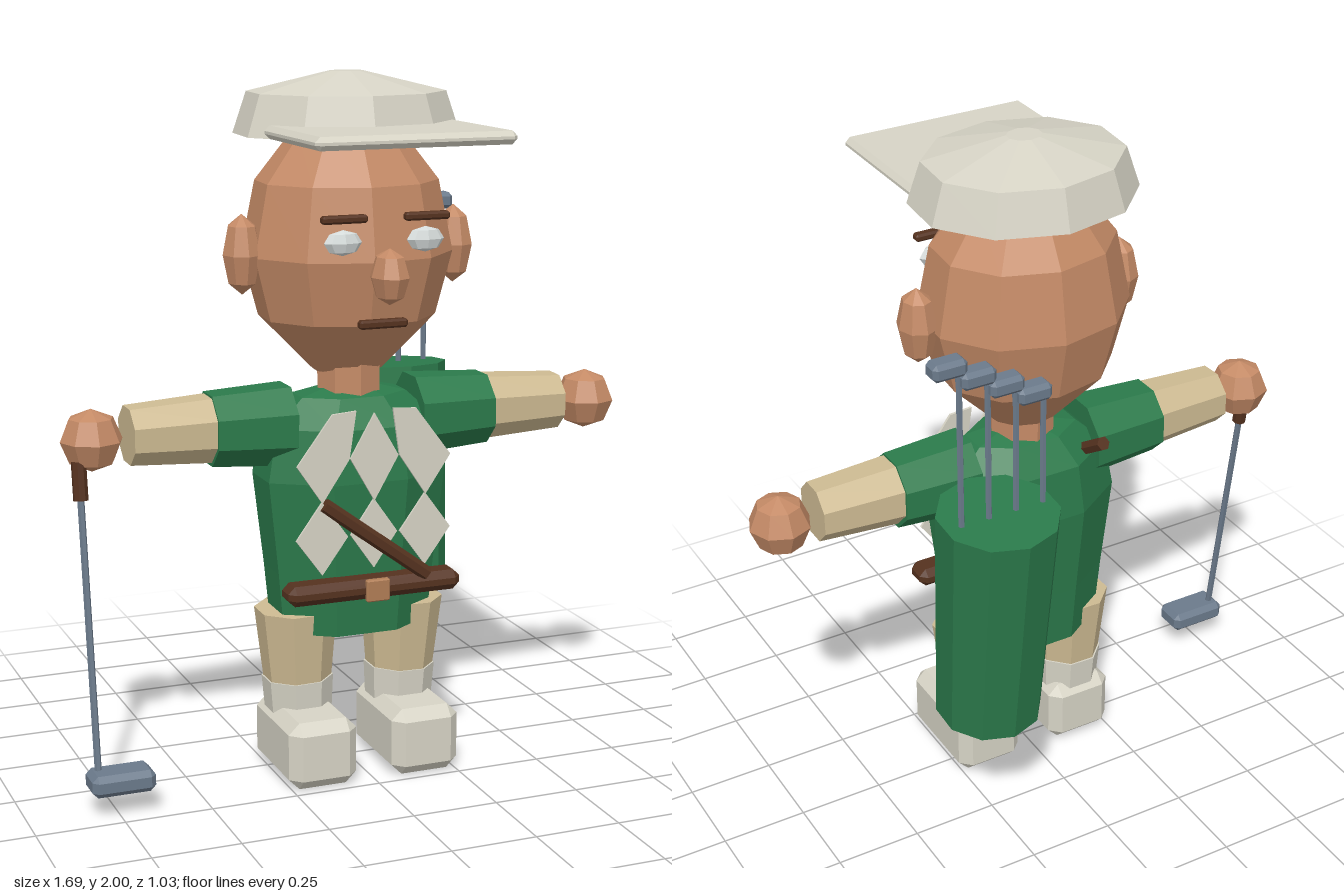
import * as THREE from 'three';
import { ConvexGeometry } from 'three/addons/geometries/ConvexGeometry.js';

const mat = (name, color) => {
  const m = new THREE.MeshStandardMaterial({ color, flatShading: true });
  m.name = name;
  return m;
};

export function createModel() {
  const skin = mat('skin', 0xc48a66);
  const cream = mat('cream', 0xd6d3c5);
  const green = mat('green', 0x2b7a4b);
  const khaki = mat('khaki', 0xcdba92);
  const brown = mat('brown', 0x55321f);
  const steel = mat('steel', 0x6b7a8b);
  const white = mat('eye white', 0xd4dad9);
  const buckleTan = mat('buckle tan', 0xb07d55);

  const model = new THREE.Group();
  model.name = 'golfer';
  const V = (x, y, z) => new THREE.Vector3(x, y, z);

  const add = (name, geometry, material, x = 0, y = 0, z = 0, parent = model) => {
    const mesh = new THREE.Mesh(geometry, material);
    mesh.name = name;
    mesh.position.set(x, y, z);
    parent.add(mesh);
    return mesh;
  };

  // Box with cut edges
  const chamferBox = (w, h, d, b) => {
    const pts = [];
    for (const sx of [-1, 1]) for (const sy of [-1, 1]) for (const sz of [-1, 1]) {
      const x = w / 2, y = h / 2, z = d / 2;
      pts.push(V(sx * x, sy * (y - b), sz * (z - b)));
      pts.push(V(sx * (x - b), sy * y, sz * (z - b)));
      pts.push(V(sx * (x - b), sy * (y - b), sz * z));
    }
    return new ConvexGeometry(pts);
  };

  // Faceted turned shape, squashed front to back; profile runs bottom to top
  const turned = (profile, sides, turn, scaleX, scaleZ) =>
    new THREE.LatheGeometry(profile.map(([r, y]) => new THREE.Vector2(r, y)), sides)
      .rotateY(turn).scale(scaleX, 1, scaleZ);

  // Faceted ellipsoid
  const blob = (rx, ry, rz, sides = 8, rows = 4) =>
    new THREE.SphereGeometry(1, sides, rows).scale(rx, ry, rz);

  // Tapered bar between two points
  const bar = (name, a, b, ra, rb, sides, material, parent = model) => {
    const dir = b.clone().sub(a);
    const g = new THREE.CylinderGeometry(rb, ra, dir.length(), sides).rotateY(Math.PI / sides);
    const mesh = add(name, g, material, 0, 0, 0, parent);
    mesh.position.copy(a).add(b).multiplyScalar(0.5);
    mesh.quaternion.setFromUnitVectors(V(0, 1, 0), dir.normalize());
    return mesh;
  };

  // Head, neck and cap
  add('head', turned([[0, 1.16], [0.1, 1.165], [0.255, 1.32], [0.303, 1.5], [0.262, 1.7], [0.16, 1.83], [0, 1.88]],
    10, -0.07, 1, 0.88), skin, 0, 0, -0.005);
  add('neck', new THREE.CylinderGeometry(0.095, 0.095, 0.16, 8), skin, 0, 1.13, 0.01);
  add('cap', turned([[0, 1.83], [0.322, 1.83], [0.283, 1.945], [0.05, 2.0], [0, 2.0]],
    10, -0.07, 1, 0.86), cream, 0, 0, -0.008);
  add('capVisor', chamferBox(0.565, 0.036, 0.41, 0.014), cream, 0, 1.848, 0.302);

  // Face
  add('nose', blob(0.053, 0.077, 0.068), skin, 0, 1.47, 0.31);
  add('mouth', chamferBox(0.14, 0.024, 0.03, 0.006), brown, 0, 1.335, 0.262);
  for (const s of [-1, 1]) {
    add('eye', blob(0.055, 0.035, 0.025), white, s * 0.12, 1.562, 0.272);
    add('eyebrow', chamferBox(0.13, 0.022, 0.03, 0.006), brown, s * 0.12, 1.626, 0.28);
    add('ear', blob(0.055, 0.112, 0.065), skin, s * 0.318, 1.508, 0.015);
  }

  // Jumper body
  add('torso', turned([[0, 0.42], [0.24, 0.42], [0.258, 0.6], [0.29, 0.87], [0.262, 1.02], [0.17, 1.1], [0, 1.14]],
    8, Math.PI / 8, 1, 0.645), green, 0, 0, 0.012);

  // Diamond pattern plates on the chest
  const plate = (name, pts, z) => {
    const shape = new THREE.Shape(pts.map(([x, y]) => new THREE.Vector2(x, y)));
    add(name, new THREE.ExtrudeGeometry(shape, { depth: 0.008, bevelEnabled: false }), cream, 0, 0, z);
  };
  const diamond = (x, y, w, h) => [[x - w, y], [x, y - h], [x + w, y], [x, y + h]];
  plate('upperDiamond', diamond(0, 0.95, 0.072, 0.125), 0.2);
  plate('lowerDiamond', diamond(0, 0.73, 0.07, 0.1), 0.197);
  for (const s of [-1, 1]) {
    plate('upperDiamond', [[s * 0.23, 0.94], [s * 0.125, 1.08], [s * 0.055, 1.085], [s * 0.075, 0.95], [s * 0.155, 0.83]], 0.2);
    plate('lowerDiamond', diamond(s * 0.155, 0.728, 0.077, 0.105), 0.197);
  }

  // Belt, buckle and bag strap
  add('belt', chamferBox(0.52, 0.058, 0.09, 0.02), brown, 0, 0.572, 0.188);
  add('buckle', chamferBox(0.07, 0.064, 0.02, 0.004), buckleTan, 0, 0.572, 0.232);
  bar('chestStrap', V(-0.15, 0.825, 0.202), V(0.155, 0.6, 0.222), 0.021, 0.021, 6, brown);
  bar('hipStrap', V(0.2, 0.535, 0.03), V(0.27, 0.47, -0.15), 0.021, 0.021, 6, brown);
  bar('shoulderStrap', V(-0.155, 1.03, -0.08), V(-0.165, 1.09, -0.17), 0.021, 0.021, 6, brown);

  // Arms and legs
  for (const s of [-1, 1]) {
    const arm = new THREE.Group();
    arm.name = s > 0 ? 'leftArm' : 'rightArm';
    model.add(arm);
    bar('sleeve', V(s * 0.19, 1.02, 0.005), V(s * 0.42, 1.022, 0.005), 0.122, 0.108, 8, green, arm);
    bar('forearm', V(s * 0.4, 1.025, 0.005), V(s * 0.655, 1.025, 0.01), 0.1, 0.085, 8, khaki, arm);
    add('hand', blob(0.088, 0.088, 0.09), skin, s * 0.755, 1.02, 0.01, arm);

    const leg = new THREE.Group();
    leg.name = s > 0 ? 'leftLeg' : 'rightLeg';
    model.add(leg);
    bar('trouserLeg', V(s * 0.16, 0.26, 0.01), V(s * 0.165, 0.48, 0.012), 0.098, 0.12, 8, khaki, leg);
    bar('sock', V(s * 0.157, 0.15, 0.01), V(s * 0.16, 0.272, 0.01), 0.096, 0.104, 8, cream, leg);
    add('shoe', chamferBox(0.205, 0.197, 0.335, 0.032), cream, s * 0.157, 0.0985, 0.072, leg);
  }

  // Club held in the right hand
  const club = new THREE.Group();
  club.name = 'heldClub';
  model.add(club);
  bar('clubGrip', V(-0.8, 0.97, 0.04), V(-0.8, 0.865, 0.055), 0.021, 0.021, 8, brown, club);
  bar('clubShaft', V(-0.8, 0.88, 0.052), V(-0.8, 0.1, 0.165), 0.01, 0.01, 6, steel, club);
  add('clubHead', chamferBox(0.18, 0.062, 0.105, 0.016), steel, -0.74, 0.095, 0.175, club);

  // Golf bag leaning backwards, with four spare clubs
  const bag = add('golfBag', new THREE.CylinderGeometry(0.172, 0.152, 0.69, 10), green, 0.275, 0.756, -0.315);
  bag.rotation.x = -0.095;
  for (let i = 0; i < 4; i++) {
    const x = 0.142 + i * 0.083, y = 1.447 + i * 0.046;
    bar('spareShaft', V(x, 0.95, -0.355), V(x, y, -0.355), 0.009, 0.009, 6, steel);
    add('spareHead', chamferBox(0.1, 0.05, 0.06, 0.012), steel, x + 0.034, y, -0.355);
  }

  return model;
}
